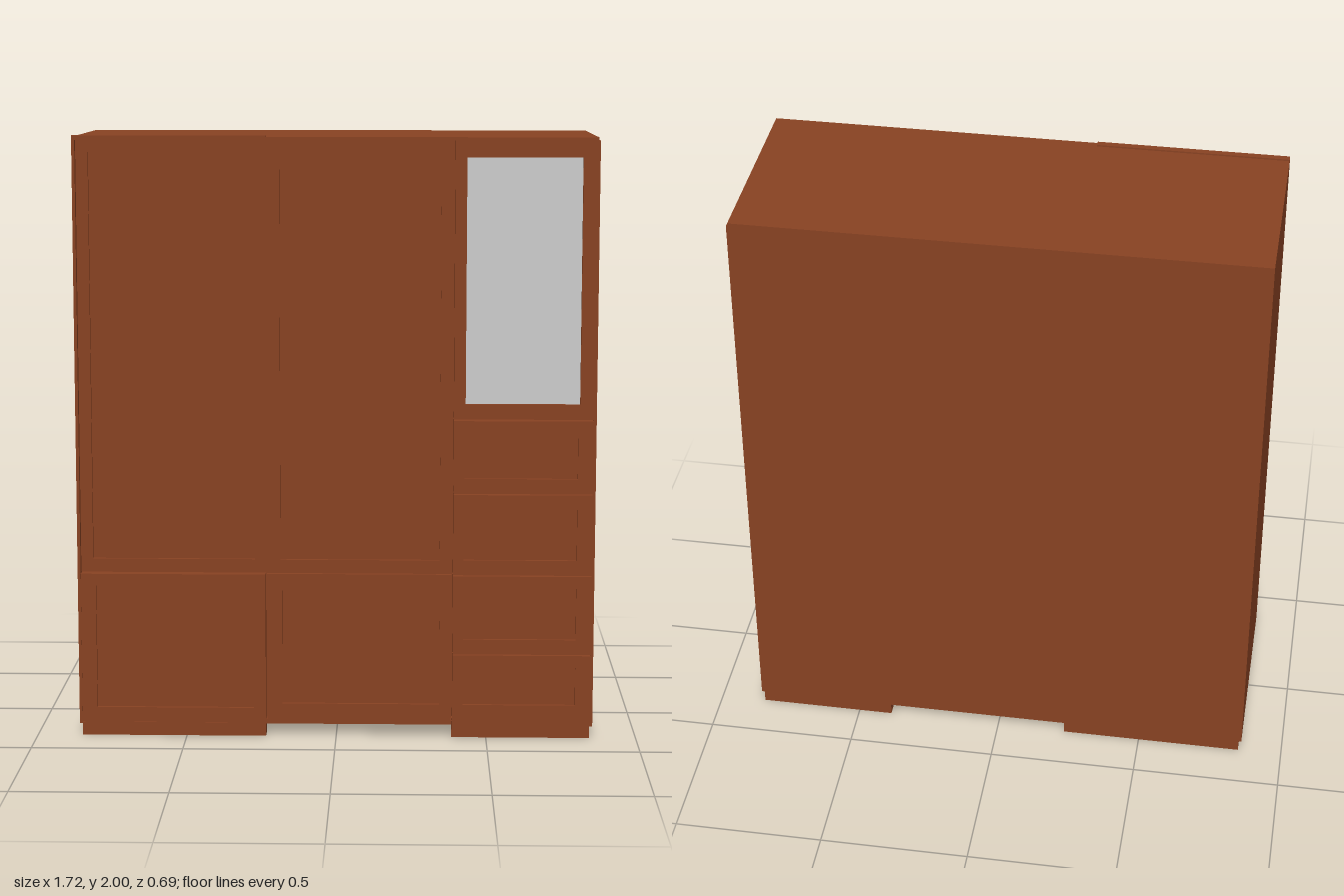
import * as THREE from 'three';

export function createModel() {
  const group = new THREE.Group();
  const wood = new THREE.MeshStandardMaterial({ color: 0x884222 });
  wood.name = 'brown wood';
  const mirror = new THREE.MeshStandardMaterial({ color: 0xcccccc });
  mirror.name = 'grey mirror';

  // Box given by its limits on each axis
  function box(name, x0, x1, y0, y1, z0, z1, material = wood, parent = group) {
    const mesh = new THREE.Mesh(new THREE.BoxGeometry(x1 - x0, y1 - y0, z1 - z0), material);
    mesh.position.set((x0 + x1) / 2, (y0 + y1) / 2, (z0 + z1) / 2);
    mesh.name = name;
    parent.add(mesh);
    return mesh;
  }

  // Rectangular frame around a sunken panel; inset = [left, right, bottom, top]
  function framedFront(name, x0, x1, y0, y1, front, inset, panelMaterial = wood) {
    const part = new THREE.Group();
    part.name = name;
    const [l, r, b, t] = inset;
    const [a0, a1, b0, b1] = [x0 + l, x1 - r, y0 + b, y1 - t];
    const rect = (p0, p1, q0, q1) => [[p0, q0], [p1, q0], [p1, q1], [p0, q1]].map(p => new THREE.Vector2(...p));
    const shape = new THREE.Shape(rect(x0, x1, y0, y1));
    shape.holes.push(new THREE.Path(rect(a0, a1, b0, b1).reverse()));
    const back = 0.285;
    const frame = new THREE.Mesh(
      new THREE.ExtrudeGeometry(shape, { depth: front - back, bevelEnabled: false }), wood);
    frame.position.z = back;
    frame.name = name + 'Frame';
    part.add(frame);
    box(name + 'Panel', a0, a1, b0, b1, back, front - 0.012, panelMaterial, part);
    group.add(part);
  }

  // Carcass, side panels and top
  box('carcass', -0.85, 0.845, 0.04, 1.985, -0.34, 0.288);
  box('backPanel', -0.86, 0.855, 0.04, 1.985, -0.345, -0.335);
  box('rightSide', -0.86, -0.85, 0.04, 1.985, -0.345, 0.332);
  box('leftSide', 0.845, 0.855, 0.04, 1.985, -0.345, 0.332);
  box('top', -0.86, 0.85, 1.985, 1.995, -0.345, 0.332);
  box('topLip', -0.86, -0.23, 1.993, 2.0, 0.31, 0.332);
  box('middleRail', -0.235, 0.385, 0.04, 0.055, 0.28, 0.322);

  // Tall sliding doors, the first set back behind the second
  framedFront('recessedDoor', -0.85, -0.23, 0.553, 1.985, 0.31, [0.04, 0.04, 0.045, 0.04]);
  framedFront('middleDoor', -0.23, 0.383, 0.556, 1.985, 0.33, [0.045, 0.04, 0.045, 0.04]);

  // Lower fronts
  framedFront('cornerLowerFront', -0.85, -0.235, 0.04, 0.55, 0.33, [0.05, 0.04, 0.055, 0.04]);
  framedFront('middleLowerFront', -0.23, 0.383, 0.055, 0.552, 0.325, [0.05, 0.04, 0.055, 0.04]);

  // Mirrored cupboard door
  framedFront('mirrorDoor', 0.387, 0.845, 1.075, 1.985, 0.34, [0.038, 0.045, 0.05, 0.055], mirror);

  // Drawers below the mirror
  const levels = [0.062, 0.285, 0.553, 0.826, 1.072];
  for (let i = 0; i < 4; i++) {
    framedFront('drawer' + (i + 1), 0.387, 0.845, levels[i] + 0.002, levels[i + 1] - 0.002, 0.345,
      [0.035, 0.05, 0.05, 0.04]);
  }
  box('drawerRail', 0.385, 0.845, 0.04, 0.062, 0.28, 0.332);

  // Plinth feet at the front and back of the outer columns
  for (const [x0, x1] of [[-0.85, -0.235], [0.385, 0.845]]) {
    box('frontFoot', x0, x1, 0, 0.045, 0.28, 0.332);
    box('backFoot', x0, x1, 0, 0.045, -0.345, -0.288);
  }
  return group;
}
